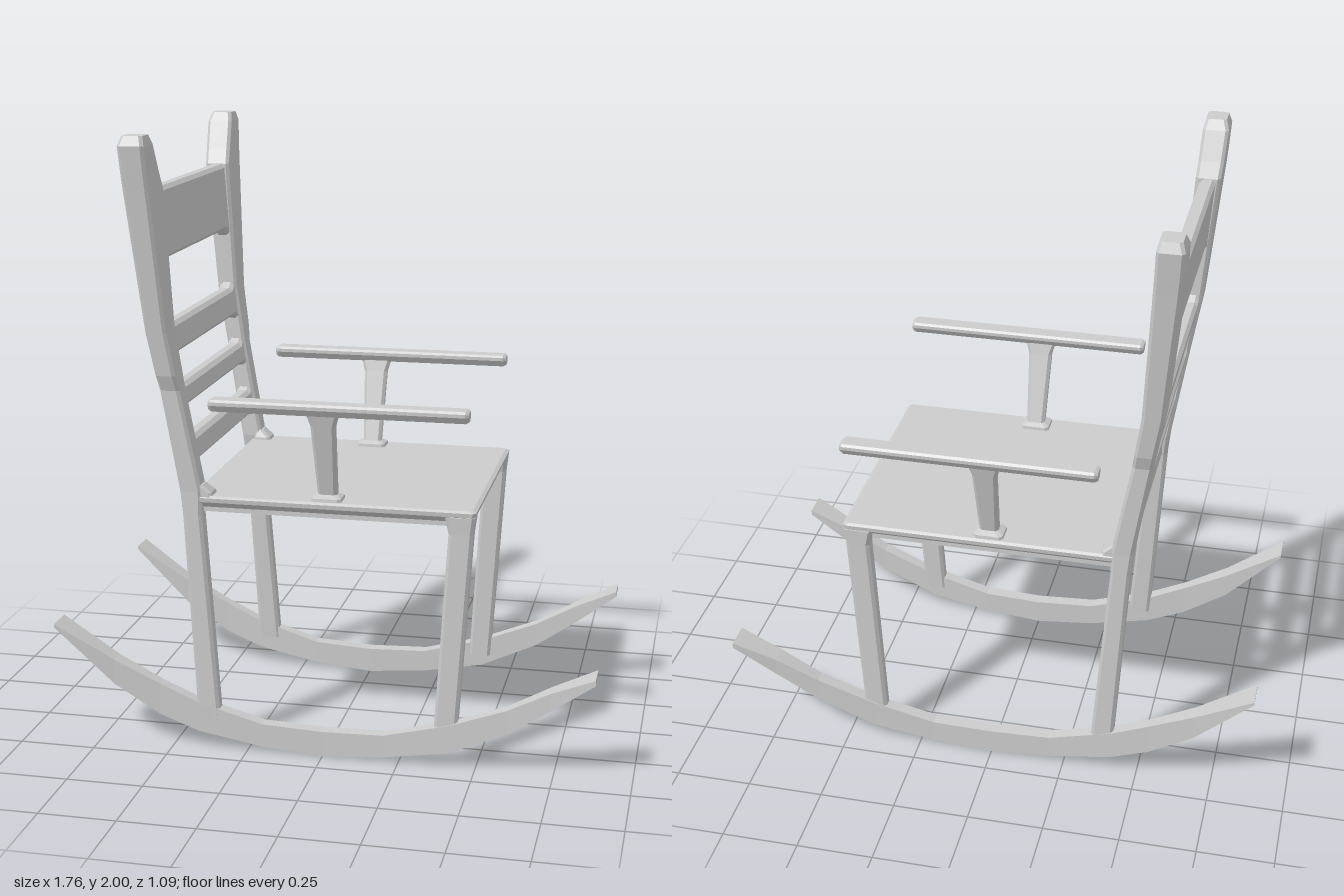
import * as THREE from 'three';

const wood = new THREE.MeshStandardMaterial({ color: 0xcccccc, flatShading: true });
wood.name = 'plain grey';

// Rectangle with cut corners, as 2D points
function ring(u0, u1, v0, v1, c = 0) {
  if (!c) return [[u0, v0], [u1, v0], [u1, v1], [u0, v1]];
  return [
    [u0 + c, v0], [u1 - c, v0], [u1, v0 + c], [u1, v1 - c],
    [u1 - c, v1], [u0 + c, v1], [u0, v1 - c], [u0, v0 + c],
  ];
}

// Skin a row of cross-sections, cap both ends and turn all faces outward
function loft(name, sections) {
  const tris = [];
  const n = sections[0].length;
  for (let s = 0; s < sections.length - 1; s++) {
    const a = sections[s], b = sections[s + 1];
    for (let i = 0; i < n; i++) {
      const j = (i + 1) % n;
      tris.push([a[i], a[j], b[j]], [a[i], b[j], b[i]]);
    }
  }
  const first = sections[0], last = sections[sections.length - 1];
  for (let i = 1; i < n - 1; i++) {
    tris.push([first[0], first[i + 1], first[i]], [last[0], last[i], last[i + 1]]);
  }
  const o = first[0];
  let volume = 0;
  for (const [p, q, r] of tris) {
    volume += p.clone().sub(o).dot(q.clone().sub(o).cross(r.clone().sub(o)));
  }
  const pts = tris.flatMap(([p, q, r]) => (volume < 0 ? [p, r, q] : [p, q, r]));
  const geometry = new THREE.BufferGeometry().setFromPoints(pts);
  geometry.computeVertexNormals();
  const mesh = new THREE.Mesh(geometry, wood);
  mesh.name = name;
  return mesh;
}

// Upright beam; rows of [y, x0, x1, z0, z1, cut], side = +1 or -1
const upright = (name, side, rows) => loft(name, rows.map(([y, x0, x1, z0, z1, c = 0.01]) =>
  ring(x0, x1, z0, z1, c).map(([x, z]) => new THREE.Vector3(x, y, z * side))));

// Back post outline, bottom to top
const postRows = [
  [0.1, -0.415, -0.34, 0.372, 0.42],
  [0.79, -0.455, -0.392, 0.355, 0.415],
  [0.87, -0.463, -0.392, 0.345, 0.415],
  [1.2, -0.516, -0.452, 0.355, 0.432],
  [1.25, -0.524, -0.459, 0.356, 0.45],
  [1.39, -0.548, -0.48, 0.36, 0.468],
  [1.83, -0.588, -0.506, 0.365, 0.525],
  [1.88, -0.592, -0.509, 0.392, 0.532],
  [1.97, -0.597, -0.513, 0.435, 0.544],
  [2.0, -0.587, -0.52, 0.455, 0.53],
];

// Middle of the post at a height, so the slats follow its lean
function postX(y) {
  const i = Math.max(1, postRows.findIndex((r) => r[0] >= y));
  const a = postRows[i - 1], b = postRows[i];
  const t = (y - a[0]) / (b[0] - a[0]);
  return THREE.MathUtils.lerp((a[1] + a[2]) / 2, (b[1] + b[2]) / 2, t);
}

// Back slat with ends that flare into the posts
function slat(name, y0, y1, depth, flareDown, flareUp) {
  const stations = [[-0.39, 1], [-0.365, 1], [-0.335, 0], [0.335, 0], [0.365, 1], [0.39, 1]];
  return loft(name, stations.map(([z, f]) =>
    ring(-depth / 2, depth / 2, y0 - f * flareDown, y1 + f * flareUp, 0.012)
      .map(([u, y]) => new THREE.Vector3(postX(y) + u, y, z))));
}

// Rocker rows: [x, bottom, top, inner z, outer z]
const rockerRows = [
  [-0.88, 0.402, 0.412, 0.383, 0.48],
  [-0.69, 0.207, 0.292, 0.388, 0.444],
  [-0.54, 0.108, 0.215, 0.388, 0.428],
  [-0.41, 0.057, 0.157, 0.38, 0.422],
  [-0.2, 0.017, 0.095, 0.37, 0.413],
  [0, 0, 0.085, 0.366, 0.41],
  [0.2, 0.016, 0.091, 0.37, 0.413],
  [0.41, 0.052, 0.145, 0.38, 0.42],
  [0.6, 0.138, 0.218, 0.388, 0.432],
  [0.74, 0.235, 0.295, 0.388, 0.45],
  [0.88, 0.342, 0.36, 0.383, 0.476],
];

function buildSide(side) {
  const group = new THREE.Group();
  group.name = side > 0 ? 'leftSide' : 'rightSide';

  group.add(loft('rocker', rockerRows.map(([x, y0, y1, z0, z1]) =>
    ring(y0, y1, z0, z1).map(([y, z]) => new THREE.Vector3(x, y, z * side)))));

  group.add(upright('backPost', side, postRows));

  group.add(upright('frontLeg', side, [
    [0.09, 0.363, 0.438, 0.372, 0.417],
    [0.78, 0.404, 0.482, 0.358, 0.412],
    [0.835, 0.392, 0.488, 0.345, 0.414],
  ]));

  // Small flare where the back post meets the seat
  group.add(upright('postFoot', side, [
    [0.845, -0.42, -0.355, 0.335, 0.408],
    [0.865, -0.42, -0.362, 0.338, 0.408],
    [0.89, -0.42, -0.39, 0.35, 0.408],
  ]));

  // Leaning arm support with a spread foot and head
  group.add(upright('armSupport', side, [
    [0.85, -0.04, 0.06, 0.318, 0.4],
    [0.866, -0.038, 0.058, 0.32, 0.398],
    [0.875, -0.02, 0.042, 0.337, 0.378],
    [1.11, -0.03, 0.05, 0.404, 0.438],
    [1.15, -0.042, 0.062, 0.414, 0.448],
  ]));

  // Armrest, narrower underneath
  const armSection = (x, s) => [
    [-0.018, -0.019], [0.018, -0.019], [0.032, 0.002], [0.032, 0.013],
    [0.025, 0.02], [-0.025, 0.02], [-0.032, 0.013], [-0.032, 0.002],
  ].map(([z, y]) => new THREE.Vector3(x, 1.164 + y * s, (0.433 + z * s) * side));
  group.add(loft('armrest', [
    armSection(-0.352, 0.75), armSection(-0.342, 1), armSection(0.46, 1), armSection(0.47, 0.75),
  ]));

  // Rail under the side of the seat
  group.add(upright('sideRail', side, [
    [0.8, -0.41, 0.42, 0.355, 0.385, 0],
    [0.835, -0.41, 0.42, 0.355, 0.385, 0],
  ]));
  return group;
}

export function createModel() {
  const model = new THREE.Group();
  model.name = 'rockingChair';
  model.add(buildSide(1), buildSide(-1));

  // Seat board with a cut lower edge
  model.add(upright('seat', 1, [
    [0.815, -0.415, 0.465, -0.385, 0.385, 0.01],
    [0.836, -0.425, 0.488, -0.41, 0.41, 0.01],
    [0.85, -0.425, 0.49, -0.412, 0.412, 0.01],
    [0.856, -0.425, 0.478, -0.403, 0.403, 0.01],
  ]));

  // Rails under the front and back of the seat
  for (const [name, x] of [['frontRail', 0.435], ['backRail', -0.425]]) {
    model.add(upright(name, 1, [
      [0.8, x - 0.015, x + 0.015, -0.37, 0.37, 0],
      [0.835, x - 0.015, x + 0.015, -0.37, 0.37, 0],
    ]));
  }

  // Backrest
  model.add(slat('topPanel', 1.605, 1.828, 0.052, 0.025, 0));
  model.add(slat('upperSlat', 1.305, 1.4, 0.05, 0.02, 0.02));
  model.add(slat('middleSlat', 1.135, 1.205, 0.05, 0.02, 0.02));
  model.add(slat('lowerSlat', 0.955, 1.035, 0.05, 0.02, 0.02));
  return model;
}
